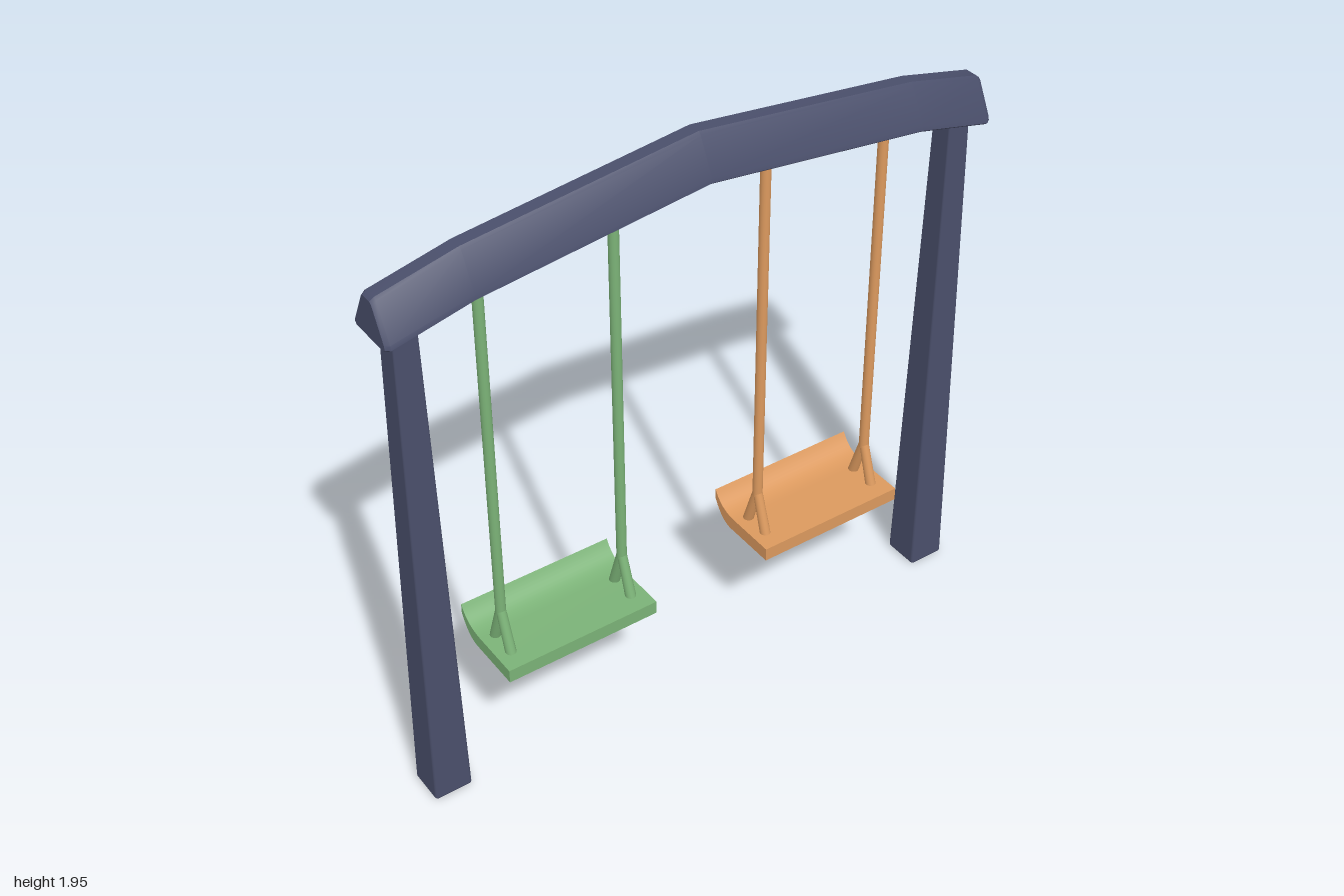
import * as THREE from 'three';
import { toCreasedNormals } from 'three/addons/utils/BufferGeometryUtils.js';
import { RoundedBoxGeometry } from 'three/addons/geometries/RoundedBoxGeometry.js';

const MID_Z = 0.022; // the frame's centre plane

function material(name, color) {
  const m = new THREE.MeshStandardMaterial({ color });
  m.name = name;
  return m;
}

function part(name, geometry, mat) {
  const mesh = new THREE.Mesh(geometry, mat);
  mesh.name = name;
  return mesh;
}

// Arched roof-shaped beam: one bevelled section swept through stations along x
function beamGeometry() {
  const section = [ // z, height above the underside
    [-0.077, 0], [0.077, 0], [0.087, 0.008], [0.084, 0.022],
    [0.03, 0.128], [0.021, 0.136], [-0.021, 0.136], [-0.03, 0.128],
    [-0.084, 0.022], [-0.087, 0.008],
  ];
  const half = [[0, 1.811, 1], [0.737, 1.725, 1], [0.985, 1.668, 1], [0.998, 1.665, 0.9]]; // x, underside, scale
  const stations = [...half.slice(1).reverse().map(([x, y, s]) => [-x, y, s]), ...half];
  const n = section.length;
  const positions = [];
  const index = [];
  stations.forEach(([x, y, s], i) => {
    section.forEach(([z, h]) => positions.push(x, y + 0.06 + (h - 0.06) * s, MID_Z + z * s));
    if (i === 0) return;
    for (let j = 0; j < n; j++) {
      const k = (j + 1) % n;
      const a = (i - 1) * n + j, b = i * n + j, c = i * n + k, d = (i - 1) * n + k;
      index.push(a, b, c, a, c, d);
    }
  });
  const last = (stations.length - 1) * n;
  for (let j = 1; j < n - 1; j++) {
    index.push(0, j, j + 1, last, last + j + 1, last + j);
  }
  const g = new THREE.BufferGeometry();
  g.setAttribute('position', new THREE.Float32BufferAttribute(positions, 3));
  g.setIndex(index);
  return toCreasedNormals(g, 0.5);
}

// Square post with soft edges, narrowing towards the top
function postGeometry() {
  const height = 1.73;
  const g = new RoundedBoxGeometry(0.125, height, 0.125, 3, 0.01);
  g.translate(0, height / 2, 0);
  const p = g.attributes.position;
  for (let i = 0; i < p.count; i++) {
    const s = 1 - 0.41 * p.getY(i) / height;
    p.setX(i, p.getX(i) * s);
    p.setZ(i, p.getZ(i) * s);
  }
  return g;
}

// Seat: side profile (z, y) with an upturned back lip, extruded across x
function seatGeometry(width) {
  const s = new THREE.Shape();
  s.moveTo(0.135, 0.393);
  s.lineTo(0.135, 0.438);
  s.lineTo(-0.03, 0.438);
  s.bezierCurveTo(-0.085, 0.438, -0.112, 0.458, -0.135, 0.497);
  s.lineTo(-0.135, 0.462);
  s.bezierCurveTo(-0.115, 0.425, -0.09, 0.393, -0.05, 0.393);
  s.closePath();
  const g = new THREE.ExtrudeGeometry(s, { depth: width, bevelEnabled: false, curveSegments: 10 });
  g.translate(0, 0, -width / 2);
  g.rotateY(-Math.PI / 2);
  return toCreasedNormals(g, 0.5);
}

// Round bar between two points
function bar(name, from, to, rTop, rBottom, mat) {
  const dir = to.clone().sub(from);
  const mesh = part(name, new THREE.CylinderGeometry(rTop, rBottom, dir.length(), 16), mat);
  mesh.position.copy(from).add(to).multiplyScalar(0.5);
  mesh.quaternion.setFromUnitVectors(new THREE.Vector3(0, 1, 0), dir.normalize());
  return mesh;
}

function createSwing(name, x, mat) {
  const swing = new THREE.Group();
  swing.name = name;
  swing.position.x = x;
  swing.add(part('seat', seatGeometry(0.516), mat));
  for (const side of [-1, 1]) {
    const hx = side * 0.211;
    const topY = 1.83 - 0.117 * Math.abs(x + hx); // ends inside the beam
    const fork = new THREE.Vector3(hx, 0.56, MID_Z);
    bar;
    swing.add(bar('hanger', fork, new THREE.Vector3(hx, topY, MID_Z), 0.016, 0.016, mat));
    // Forked foot joining the hanger to the seat
    for (const dz of [-0.048, 0.048]) {
      swing.add(bar('hangerFoot', new THREE.Vector3(hx, 0.425, MID_Z + dz),
        new THREE.Vector3(hx, 0.575, MID_Z), 0.015, 0.017, mat));
    }
  }
  return swing;
}

export function createModel() {
  const slate = material('slate', 0x4a4f6b);
  const green = material('green', 0x7bb277);
  const orange = material('orange', 0xdb995e);

  const model = new THREE.Group();
  model.name = 'swingSet';
  model.add(part('beam', beamGeometry(), slate));
  for (const side of [-1, 1]) {
    const post = part(side < 0 ? 'rightPost' : 'leftPost', postGeometry(), slate);
    post.position.set(side * 0.92, 0, MID_Z + 0.002);
    model.add(post);
  }
  model.add(createSwing('rightSwing', -0.474, green));
  model.add(createSwing('leftSwing', 0.454, orange));
  return model;
}
